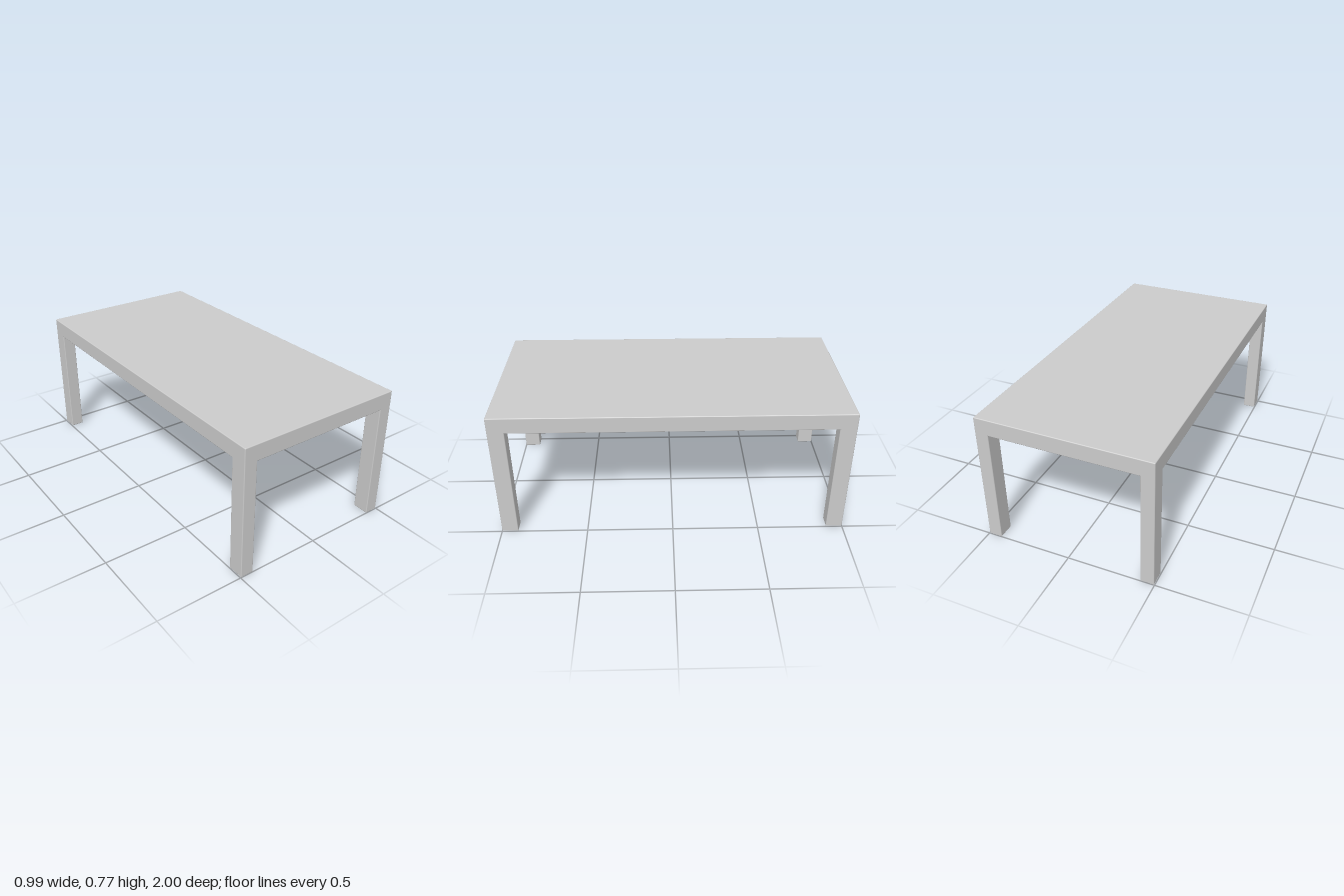
import * as THREE from 'three';
import { RoundedBoxGeometry } from 'three/addons/geometries/RoundedBoxGeometry.js';

const WIDTH = 0.994, LENGTH = 2, HEIGHT = 0.767;
const SLAB = 0.095;                 // thickness of the top
const LEG_X = 0.077, LEG_Z = 0.095; // leg section
const EDGE = 0.005;                 // softened edge radius

export function createModel() {
  const table = new THREE.Group();
  table.name = 'table';
  const material = new THREE.MeshStandardMaterial({ color: 0xcccccc });

  const addBlock = (name, w, h, d, x, y, z) => {
    const mesh = new THREE.Mesh(new RoundedBoxGeometry(w, h, d, 2, EDGE), material);
    mesh.name = name;
    mesh.position.set(x, y, z);
    table.add(mesh);
  };

  // Solid table top
  addBlock('tableTop', WIDTH, SLAB, LENGTH, 0, HEIGHT - SLAB / 2, 0);

  // Four corner legs, flush with the top's sides and let into its underside
  const legHeight = HEIGHT - SLAB + 0.02;
  for (const [end, sz] of [['front', 1], ['back', -1]]) {
    for (const [side, sx] of [['Left', 1], ['Right', -1]]) {
      addBlock(`${end}${side}Leg`, LEG_X, legHeight, LEG_Z,
        sx * (WIDTH - LEG_X) / 2, legHeight / 2, sz * (LENGTH - LEG_Z) / 2);
    }
  }
  return table;
}
